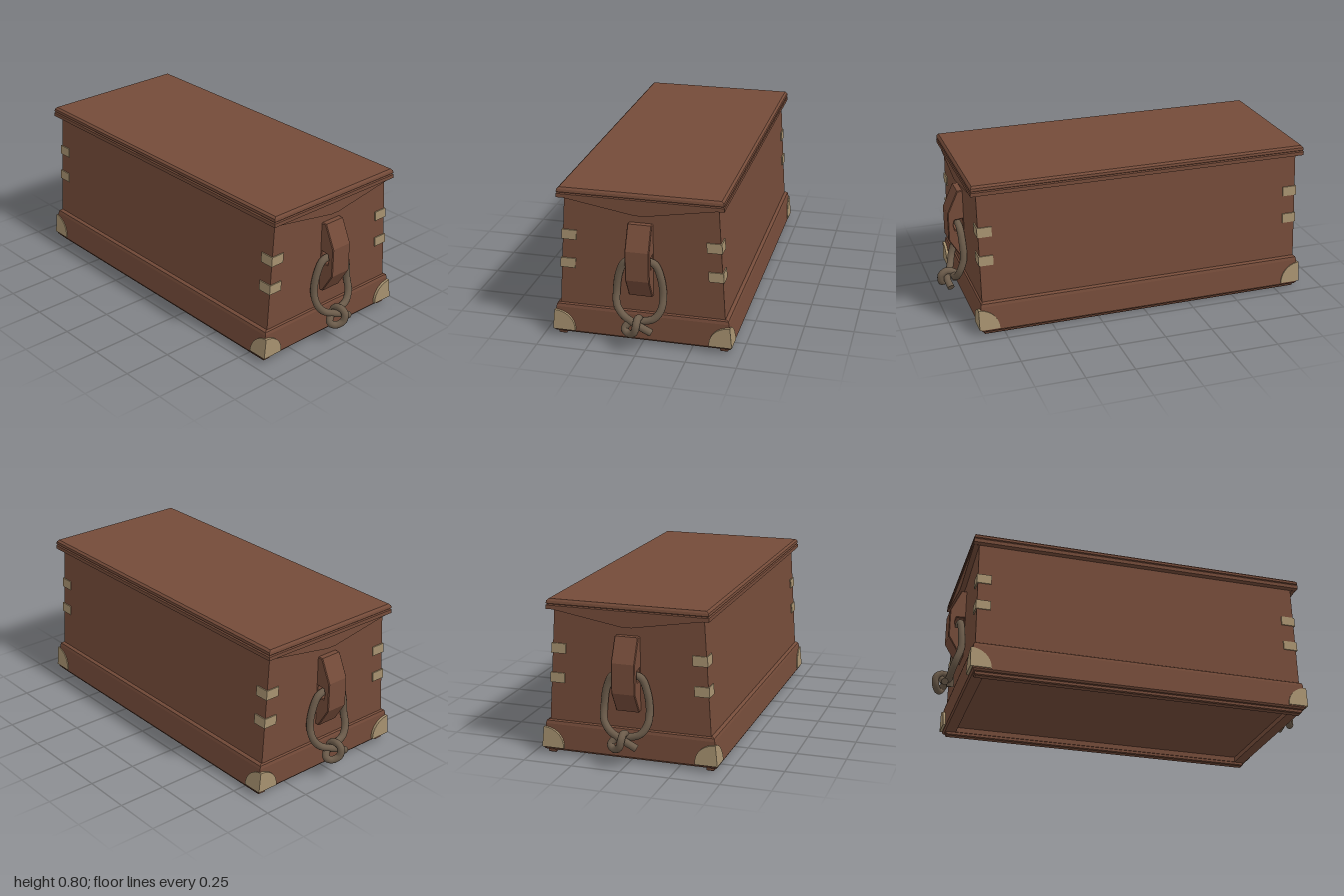
import * as THREE from 'three';

const mat = (name, color) => Object.assign(new THREE.MeshStandardMaterial({ color }), { name });

// Stack of rectangular rings [halfX, halfZ, y], capped at both ends, hard edges
function loft(rings) {
  const loops = rings.map(([x, z, y]) => [[x, y, z], [x, y, -z], [-x, y, -z], [-x, y, z]]);
  const pos = [];
  const quad = (a, b, c, d) => [a, b, c, a, c, d].forEach(p => pos.push(...p));
  for (let r = 0; r < loops.length - 1; r++)
    for (let i = 0; i < 4; i++) {
      const j = (i + 1) % 4;
      quad(loops[r][i], loops[r][j], loops[r + 1][j], loops[r + 1][i]);
    }
  const top = loops[loops.length - 1], bottom = loops[0];
  quad(...top);
  quad(bottom[3], bottom[2], bottom[1], bottom[0]);
  const g = new THREE.BufferGeometry();
  g.setAttribute('position', new THREE.Float32BufferAttribute(pos, 3));
  g.computeVertexNormals();
  return g;
}

const polygon = pts => new THREE.Shape(pts.map(p => new THREE.Vector2(...p)));

function extrude(shape, depth, bevel = 0) {
  return new THREE.ExtrudeGeometry(shape, {
    depth, bevelEnabled: bevel > 0, bevelSize: bevel, bevelOffset: -bevel, bevelThickness: bevel, bevelSegments: 1, curveSegments: 12
  });
}

// Lean a geometry inward on x as it rises, to follow the sloping sides
function lean(geo, side, slope, y0) {
  const p = geo.attributes.position;
  for (let i = 0; i < p.count; i++) p.setX(i, p.getX(i) - side * slope * (p.getY(i) - y0));
  geo.computeVertexNormals();
  return geo;
}

// Quarter ellipse with its square corner at (cx, cy), reaching toward the middle
function quarter(cx, cy, rx, ry) {
  const pts = [[cx, cy]];
  for (let i = 0; i <= 10; i++) {
    const a = i / 10 * Math.PI / 2;
    pts.push([cx - Math.sign(cx) * rx * Math.cos(a), cy + ry * Math.sin(a)]);
  }
  return polygon(pts);
}

export function createModel() {
  const model = new THREE.Group();
  model.name = 'chest';
  const wood = mat('brownWood', 0x744b39);
  const brass = mat('paleBrass', 0xa6916f);
  const rope = mat('rope', 0x6b5b4a);
  const add = (parent, name, geo, material) => {
    const m = new THREE.Mesh(geo, material);
    m.name = name;
    parent.add(m);
    return m;
  };

  // Tapered box, plinth with recessed underside, two-step lid
  add(model, 'body', loft([[0.416, 0.858, 0.16], [0.378, 0.858, 0.75]]), wood);
  add(model, 'plinth', loft([
    [0.385, 0.805, 0.045], [0.385, 0.805, 0.018], [0.443, 0.862, 0.018], [0.449, 0.87, 0.028],
    [0.436, 0.87, 0.155], [0.432, 0.866, 0.17], [0.422, 0.858, 0.176]
  ]), wood);
  add(model, 'lid', loft([
    [0.41, 0.89, 0.745], [0.41, 0.89, 0.764], [0.404, 0.885, 0.769], [0.409, 0.889, 0.773],
    [0.407, 0.887, 0.786], [0.396, 0.88, 0.796]
  ]), wood);

  for (const sx of [1, -1]) {
    // Runners under the long sides
    add(model, 'runner', loft([
      [0.016, 0.85, 0], [0.02, 0.856, 0.005], [0.02, 0.856, 0.022]
    ]), wood).position.x = sx * 0.41;

    for (const sz of [1, -1]) {
      // Corner straps wrapped around each upright edge
      for (const y of [0.37, 0.52]) {
        const half = 0.416 - (y - 0.16) * 0.0644;
        const o = half + 0.006, oz = 0.864, l = 0.075;
        const geo = extrude(polygon([
          [o, oz], [o, oz - l], [half - 0.003, oz - l], [half - 0.003, 0.856],
          [o - l, 0.856], [o - l, oz]
        ].map(([x, z]) => [sx * x, -sz * z])), 0.05);
        geo.rotateX(-Math.PI / 2).translate(0, y, 0);
        add(model, 'cornerStrap', lean(geo, sx, 0.0644, y), brass);
      }
      // Rounded guards on the plinth corners
      const front = extrude(quarter(sx * 0.454, 0.035, 0.114, 0.105), 0.016);
      front.translate(0, 0, sz * 0.875 - 0.008);
      add(model, 'cornerGuardEnd', lean(front, sx, 0.102, 0.028), brass);
      const side = extrude(quarter(sz * 0.883, 0.035, 0.105, 0.105), 0.009);
      side.rotateY(-Math.PI / 2).translate(sx * 0.4495 + 0.0045, 0, 0);
      add(model, 'cornerGuardSide', lean(side, sx, 0.102, 0.028), brass);
    }
  }

  // Cleat with a rope becket at each end
  const cleatShape = polygon([
    [0.85, 0.64], [0.885, 0.64], [0.94, 0.52], [0.94, 0.37], [0.877, 0.265], [0.85, 0.265]
  ]);
  cleatShape.holes.push(new THREE.Path([
    [0.862, 0.425], [0.905, 0.425], [0.911, 0.455], [0.905, 0.48], [0.862, 0.485]
  ].map(p => new THREE.Vector2(...p))));
  const cleatGeo = extrude(cleatShape, 0.112, 0.004);
  cleatGeo.translate(0, 0, -0.056).rotateY(-Math.PI / 2);

  const ropePath = [
    [0.068, 0.106, 0.945], [0.02, 0.135, 0.953], [-0.03, 0.15, 0.935], [-0.08, 0.172, 0.915],
    [-0.113, 0.215, 0.9], [-0.12, 0.28, 0.88], [-0.105, 0.38, 0.88], [-0.07, 0.445, 0.884],
    [0, 0.453, 0.886],
    [0.07, 0.445, 0.884], [0.1, 0.38, 0.88], [0.113, 0.28, 0.88], [0.108, 0.215, 0.9],
    [0.075, 0.168, 0.915], [0.01, 0.148, 0.918], [-0.045, 0.14, 0.93], [-0.064, 0.113, 0.945],
    [-0.04, 0.098, 0.962], [-0.008, 0.115, 0.981], [0.003, 0.155, 0.981], [0.002, 0.174, 0.952],
    [0, 0.158, 0.91], [-0.015, 0.115, 0.906]
  ].map(p => new THREE.Vector3(...p));
  const curve = new THREE.CatmullRomCurve3(ropePath);
  const R = 0.0185;
  const ropeGeo = new THREE.TubeGeometry(curve, 180, R, 12);

  for (const turn of [0, Math.PI]) {
    const end = new THREE.Group();
    end.name = turn ? 'backHandle' : 'frontHandle';
    end.rotation.y = turn;
    model.add(end);
    add(end, 'cleat', cleatGeo, wood);
    add(end, 'knottedRope', ropeGeo, rope);
    // Closed rope ends
    for (const t of [0, 1]) {
      const cap = add(end, 'ropeEnd', new THREE.CircleGeometry(R, 12), rope);
      cap.position.copy(curve.getPointAt(t));
      const dir = curve.getTangentAt(t).multiplyScalar(t ? 1 : -1);
      cap.quaternion.setFromUnitVectors(new THREE.Vector3(0, 0, 1), dir);
    }
    // Shallow pointed batten below the lid
    const batten = extrude(polygon([
      [-0.385, 0.75], [-0.38, 0.744], [-0.025, 0.684], [0.025, 0.684], [0.38, 0.744], [0.385, 0.75]
    ]), 0.035);
    add(end, 'lidBatten', batten.translate(0, 0, 0.85), wood);
  }
  return model;
}
